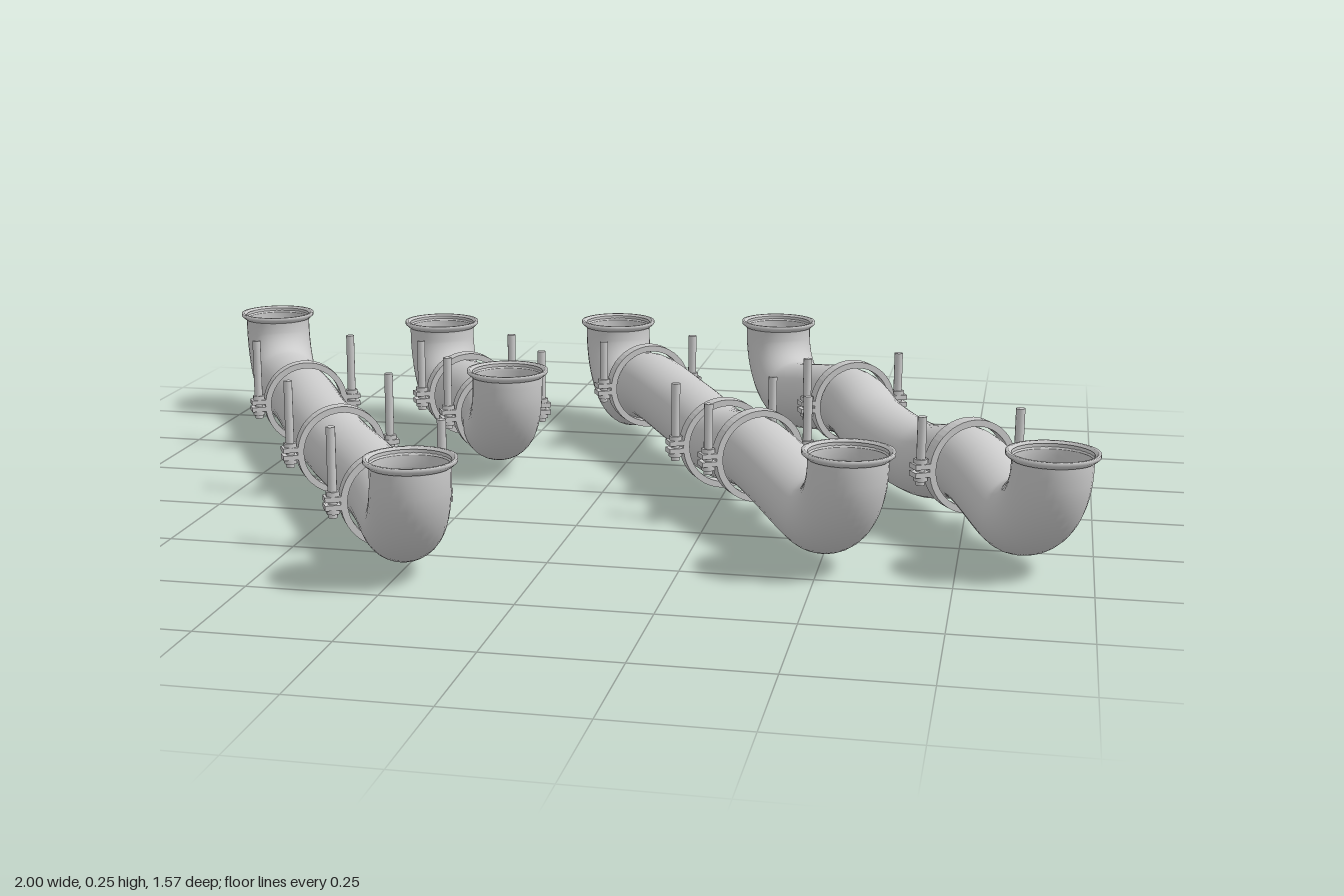
import * as THREE from 'three';

const TOP = 0.245, PIPE_R = 0.074, LOW = 0.095, BEND = 0.125;
const grey = new THREE.MeshStandardMaterial({ color: 0xcccccc });
const greyOpen = new THREE.MeshStandardMaterial({ color: 0xcccccc, side: THREE.DoubleSide });

// Each pipe: two upturned ends [x, z], the run between them [x, y, z], and which run points carry a clamp
const PIPES = [
  { a: [-0.915, -0.56], b: [-0.2, 0.7], clamps: [0, 2, 4],
    run: [[-0.743, 0.1, -0.262], [-0.645, 0.097, -0.08], [-0.535, 0.094, 0.107], [-0.42, 0.097, 0.29], [-0.317, 0.1, 0.47]] },
  { a: [-0.5, -0.54], b: [-0.215, -0.05], clamps: [0, 1],
    run: [[-0.385, 0.12, -0.342], [-0.277, 0.12, -0.18]] },
  { a: [-0.095, -0.63], b: [0.555, 0.485], clamps: [0, 2, 3],
    run: [[0.018, 0.14, -0.417], [0.14, 0.125, -0.235], [0.251, 0.115, -0.03], [0.344, 0.135, 0.134]] },
  { a: [0.275, -0.703], b: [0.915, 0.42], clamps: [0, 3],
    run: [[0.487, 0.142, -0.326], [0.56, 0.118, -0.17], [0.665, 0.108, 0.0], [0.76, 0.142, 0.155]] },
];

function add(parent, name, geometry, x = 0, y = 0, z = 0, material = grey) {
  const mesh = new THREE.Mesh(geometry, material);
  mesh.name = name;
  mesh.position.set(x, y, z);
  parent.add(mesh);
  return mesh;
}

// Centreline of an upturned end, from the mouth down to the start of the run
function elbowPoints([x, z], target) {
  const dir = new THREE.Vector3(target.x - x, 0, target.z - z).normalize();
  const pts = [new THREE.Vector3(x, TOP - 0.004, z)];
  for (let i = 0; i <= 6; i++) {
    const t = (i / 6) * Math.PI / 2;
    const p = new THREE.Vector3(x, LOW + BEND * (1 - Math.sin(t)), z);
    pts.push(p.addScaledVector(dir, BEND * (1 - Math.cos(t))));
  }
  return pts;
}

// Flat ring of the clamp, extruded along the pipe
function ringGeometry() {
  const s = new THREE.Shape().absarc(0, 0, 0.093, 0, Math.PI * 2);
  s.holes.push(new THREE.Path().absarc(0, 0, 0.08, 0, Math.PI * 2, true));
  return new THREE.ExtrudeGeometry(s, { depth: 0.028, bevelEnabled: false, curveSegments: 24 })
    .translate(0, 0, -0.014);
}

// Rolled lip around an open mouth
function lipGeometry() {
  const profile = [[0.072, -0.014], [0.077, -0.014], [0.085, -0.007], [0.085, 0], [0.079, 0], [0.072, -0.014]];
  return new THREE.LatheGeometry(profile.map(([r, y]) => new THREE.Vector2(r, y)), 40);
}

function makeClamp(center, tangent) {
  const clamp = new THREE.Group();
  clamp.name = 'clamp';
  clamp.position.copy(center);
  clamp.rotation.y = Math.atan2(tangent.x, tangent.z);
  add(clamp, 'clampRing', ringGeometry());
  const rodTop = TOP + 0.002 - center.y, rodBottom = -0.03;
  for (const side of [-1, 1]) {
    const x = side * 0.106;
    for (const v of [-1, 1]) {
      add(clamp, 'lug', new THREE.BoxGeometry(0.038, 0.01, 0.028), side * 0.104, v * 0.008, 0);
      add(clamp, 'nut', new THREE.CylinderGeometry(0.014, 0.014, 0.009, 6), x, v * 0.0175, 0);
    }
    add(clamp, 'rod', new THREE.CylinderGeometry(0.009, 0.009, rodTop - rodBottom, 12), x, (rodTop + rodBottom) / 2, 0);
  }
  return clamp;
}

function makePipe({ a, b, run, clamps }) {
  const pipe = new THREE.Group();
  pipe.name = 'pipe';
  const mid = run.map((p) => new THREE.Vector3(...p));
  const last = mid.length - 1;
  const curve = new THREE.CatmullRomCurve3([
    ...elbowPoints(a, mid[0]), ...mid, ...elbowPoints(b, mid[last]).reverse(),
  ]);
  add(pipe, 'pipeBody', new THREE.TubeGeometry(curve, 110, PIPE_R, 32), 0, 0, 0, greyOpen);
  for (const [x, z] of [a, b]) add(pipe, 'mouthLip', lipGeometry(), x, TOP, z, greyOpen);

  // Clamps follow the local heading of the run
  for (const i of clamps) {
    const before = mid[i - 1] ?? new THREE.Vector3(a[0], 0, a[1]);
    const after = mid[i + 1] ?? new THREE.Vector3(b[0], 0, b[1]);
    pipe.add(makeClamp(mid[i], after.clone().sub(before)));
  }
  return pipe;
}

export function createModel() {
  const model = new THREE.Group();
  model.name = 'pipeSet';
  for (const spec of PIPES) model.add(makePipe(spec));
  return model;
}
